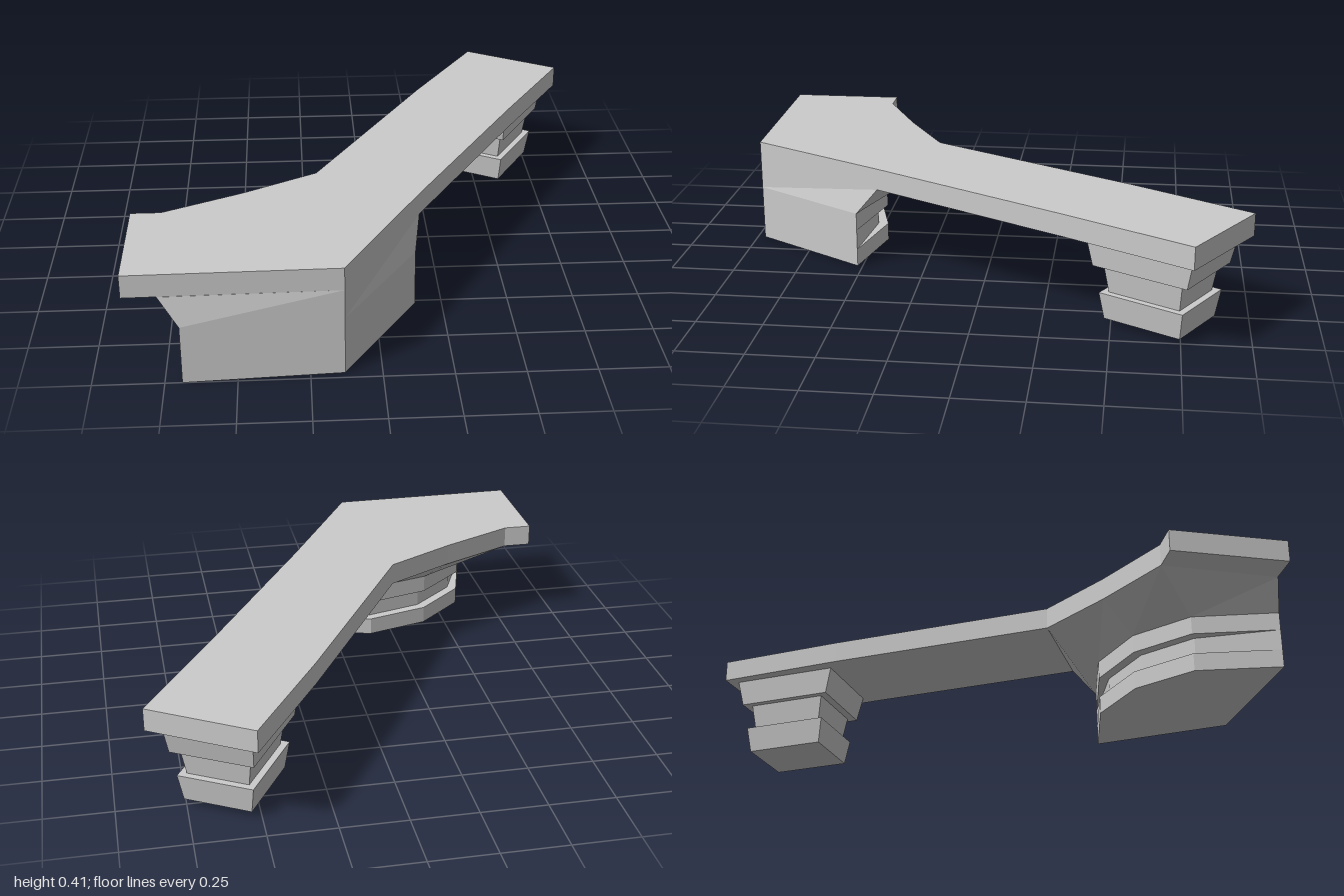
import * as THREE from 'three';

const material = new THREE.MeshStandardMaterial({ color: 0xcccccc, flatShading: true });

// Closed solid through matching outlines; each ring is { y, pts: [[x, z], ...] }, bottom to top.
function loft(name, rings) {
  const loops = rings.map(({ y, pts }) => {
    const v = pts.map(([x, z]) => new THREE.Vector2(x, z));
    if (THREE.ShapeUtils.area(v) < 0) v.reverse();
    return { y, v };
  });
  const pos = [];
  const put = (loop, i) => pos.push(loop.v[i].x, loop.y, loop.v[i].y);
  const cap = (loop, up) => {
    for (const [a, b, c] of THREE.ShapeUtils.triangulateShape(loop.v, [])) {
      put(loop, a); put(loop, up ? c : b); put(loop, up ? b : c);
    }
  };
  const n = loops[0].v.length;
  for (let k = 0; k + 1 < loops.length; k++) {
    const lo = loops[k], hi = loops[k + 1];
    for (let i = 0; i < n; i++) {
      const j = (i + 1) % n;
      put(lo, i); put(hi, i); put(lo, j);
      put(lo, j); put(hi, i); put(hi, j);
    }
  }
  cap(loops[0], false);
  cap(loops[loops.length - 1], true);
  const geometry = new THREE.BufferGeometry();
  geometry.setAttribute('position', new THREE.Float32BufferAttribute(pos, 3));
  geometry.computeVertexNormals();
  const mesh = new THREE.Mesh(geometry, material);
  mesh.name = name;
  return mesh;
}

export function createModel() {
  const model = new THREE.Group();
  model.name = 'angledCounter';

  // Bent slab: wide end at the front right, long arm to the back left
  const slab = [
    [-0.88, 0.53], [-0.77, 0.53], [-0.48, 0.39], [-0.205, 0.235], [0.25, -0.56], [0.52, -1],
    [0.88, -0.78], [0.61, -0.33], [0.17, 0.43], [-0.13, 0.97], [-0.88, 0.98],
  ];
  model.add(loft('countertop', [{ y: 0.33, pts: slab }, { y: 0.415, pts: slab }]));

  // Main pedestal: channel around the back, flaring out to meet the slab
  const body = [[-0.13, 0.97], [0.15, 0.52], [-0.16, 0.45], [-0.41, 0.52], [-0.6, 0.69], [-0.69, 1]];
  const channel = [[-0.13, 0.97], [0.15, 0.52], [-0.16, 0.49], [-0.39, 0.555], [-0.565, 0.71], [-0.69, 1]];
  const flare = [[-0.13, 0.97], [0.17, 0.43], [-0.205, 0.235], [-0.48, 0.39], [-0.77, 0.53], [-0.76, 0.98]];
  model.add(loft('mainPedestal', [
    { y: 0, pts: body }, { y: 0.07, pts: body },
    { y: 0.07, pts: channel }, { y: 0.15, pts: channel },
    { y: 0.15, pts: body }, { y: 0.22, pts: body },
    { y: 0.33, pts: flare },
  ]));

  // Arm foot: three tapered tiers, turned to follow the arm
  const rect = (halfWidth, halfLength) => [
    [-halfWidth, -halfLength], [halfWidth, -halfLength], [halfWidth, halfLength], [-halfWidth, halfLength],
  ];
  const foot = new THREE.Group();
  foot.name = 'armFoot';
  // [bottom y, top y, bottom half width and length, top half width and length]
  const tiers = [
    [0.02, 0.122, 0.129, 0.156, 0.144, 0.171],
    [0.122, 0.226, 0.118, 0.145, 0.133, 0.16],
    [0.226, 0.33, 0.158, 0.192, 0.167, 0.215],
  ];
  for (const [y0, y1, w0, l0, w1, l1] of tiers) {
    foot.add(loft('footTier', [{ y: y0, pts: rect(w0, l0) }, { y: y1, pts: rect(w1, l1) }]));
  }
  foot.position.set(0.568, 0, -0.675);
  foot.rotation.y = -Math.PI / 6;
  model.add(foot);

  return model;
}
